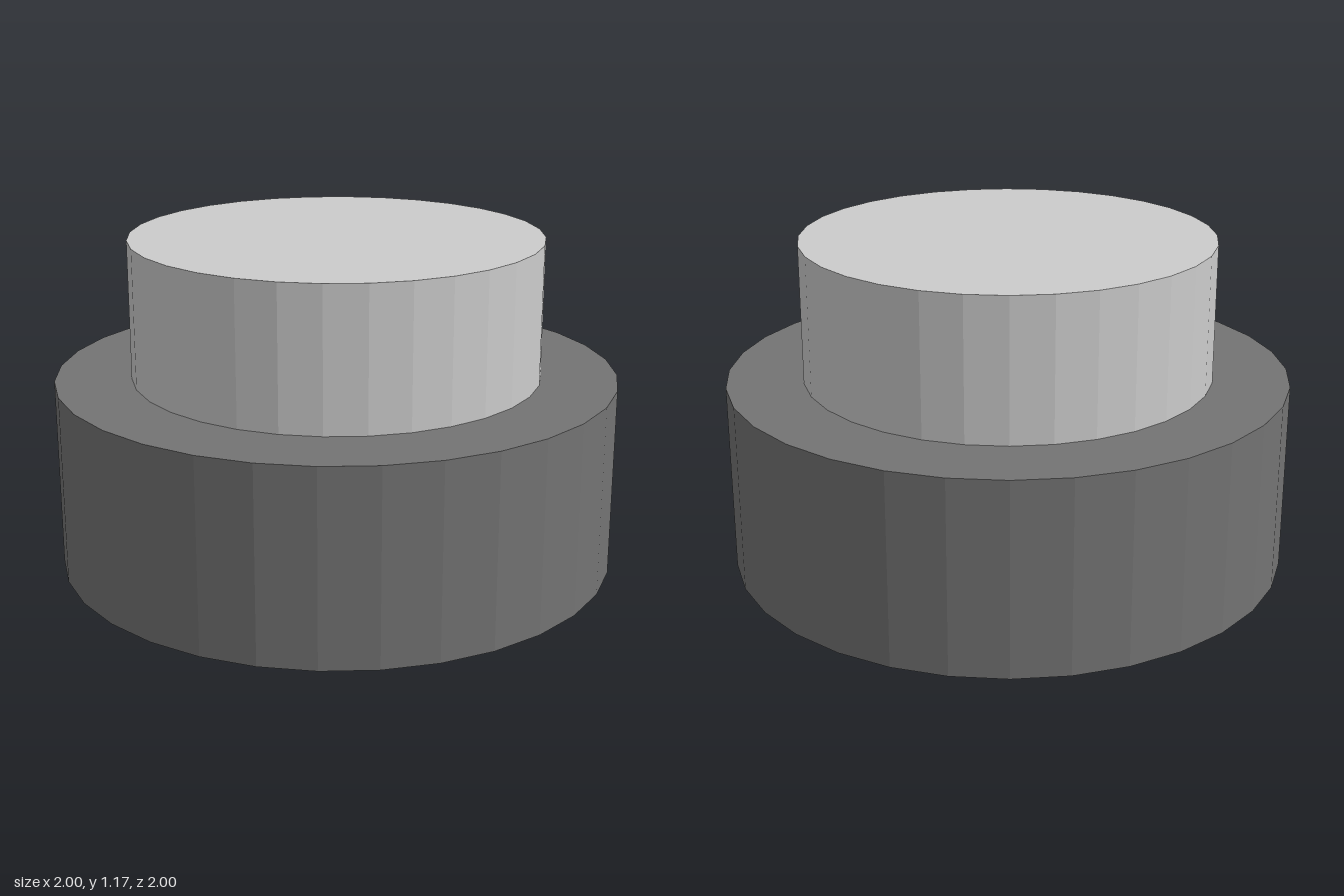
import * as THREE from 'three';

const SIDES = 32;

// Faceted upright drum standing on height y
function drum(name, radius, y, height, color) {
  const geometry = new THREE.CylinderGeometry(radius, radius, height, SIDES);
  geometry.translate(0, y + height / 2, 0);
  const mesh = new THREE.Mesh(geometry, new THREE.MeshStandardMaterial({ color, flatShading: true }));
  mesh.name = name;
  return mesh;
}

export function createModel() {
  const group = new THREE.Group();
  group.name = 'pushButton';
  // Wide dark housing with the lighter cap rising from it
  group.add(drum('housing', 1, 0, 0.68, 0x737373));
  group.add(drum('cap', 0.73, 0.68, 0.495, 0xcccccc));
  return group;
}
